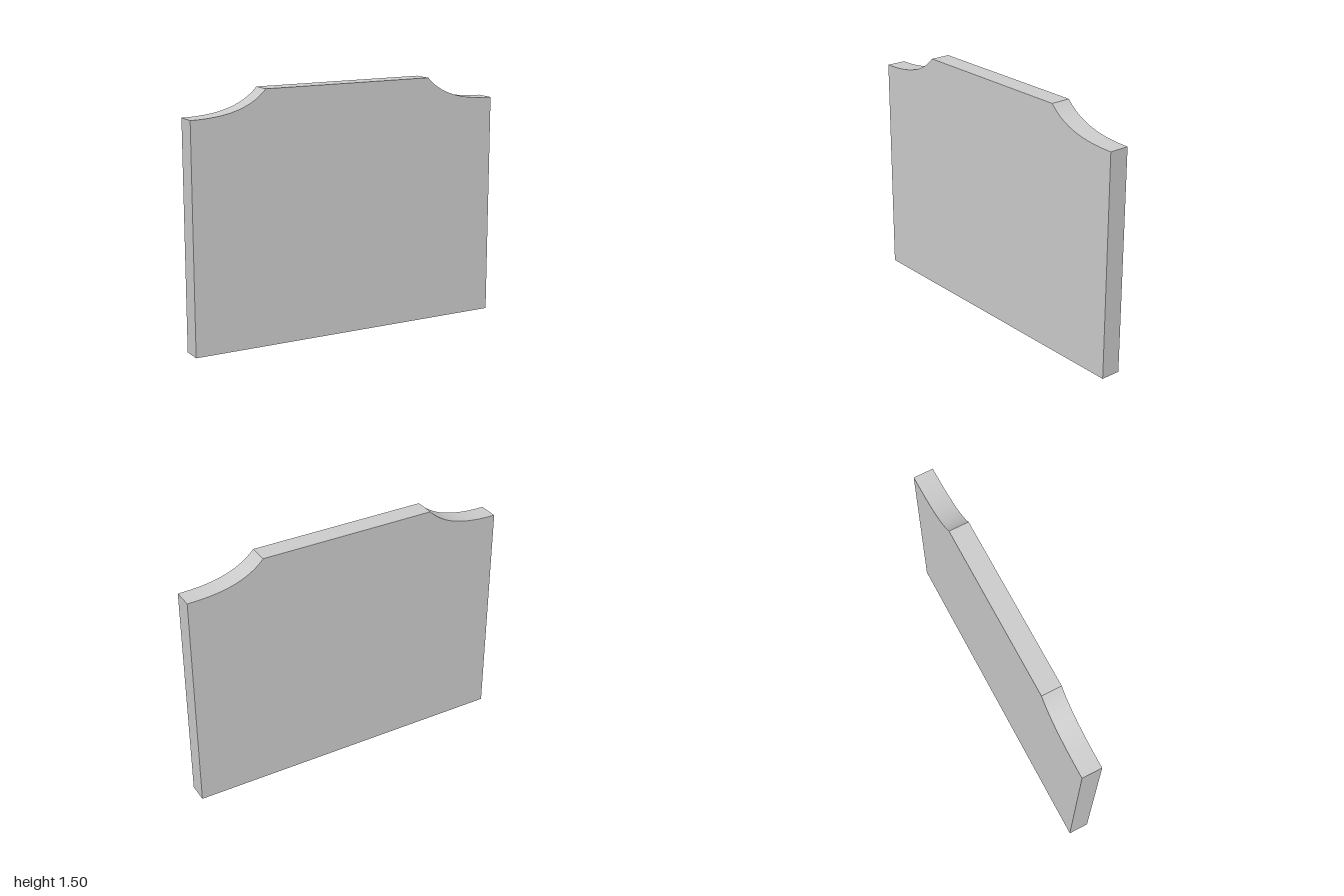
import * as THREE from 'three';
import { toCreasedNormals } from 'three/addons/utils/BufferGeometryUtils.js';

export function createModel() {
  const group = new THREE.Group();
  const depth = 0.122;

  // Panel outline with a concave scoop at each shoulder
  const outline = new THREE.Shape();
  outline.moveTo(-1, 0);
  outline.lineTo(1, 0);
  outline.lineTo(1, 1.355);
  outline.bezierCurveTo(0.8, 1.355, 0.64, 1.39, 0.54, 1.5);
  outline.lineTo(-0.54, 1.5);
  outline.bezierCurveTo(-0.64, 1.39, -0.8, 1.355, -1, 1.355);
  outline.closePath();

  const slab = new THREE.ExtrudeGeometry(outline, { depth, bevelEnabled: false, curveSegments: 24 });
  slab.translate(0, 0, -depth / 2);

  // Smooth scoops, sharp edges elsewhere
  const panel = new THREE.Mesh(
    toCreasedNormals(slab, 0.4),
    new THREE.MeshStandardMaterial({ color: 0xcccccc })
  );
  panel.name = 'panel';
  group.add(panel);
  return group;
}
